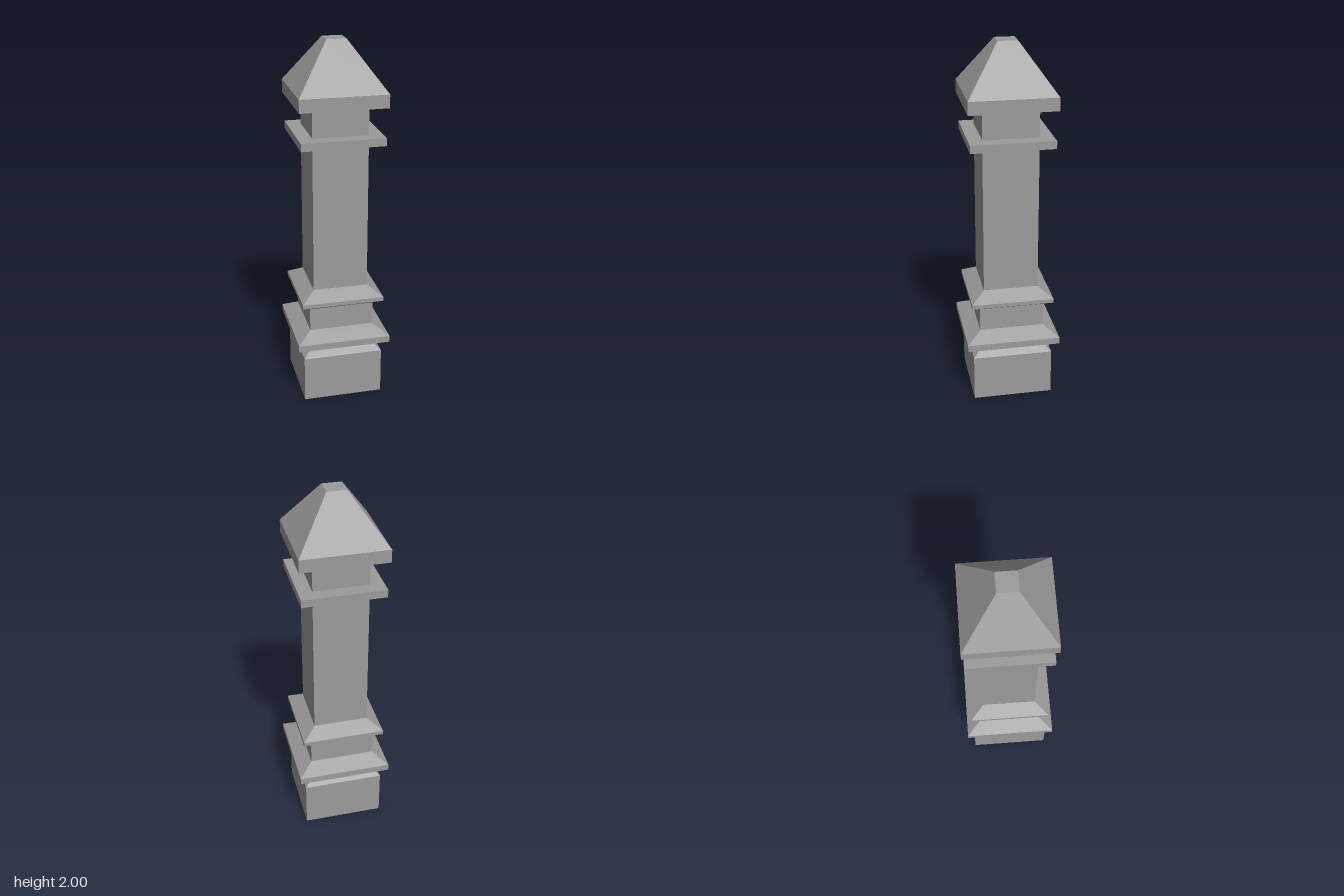
import * as THREE from 'three';

const material = new THREE.MeshStandardMaterial({ color: 0x9b9b9b, flatShading: true });

// Square solid swept from a profile of [halfWidth, height] points, bottom to top
function squarePart(name, profile) {
  const points = profile.map(([half, y]) => new THREE.Vector2(half * Math.SQRT2, y));
  const geometry = new THREE.LatheGeometry(points, 4, Math.PI / 4).toNonIndexed();
  geometry.computeVertexNormals();
  const mesh = new THREE.Mesh(geometry, material);
  mesh.name = name;
  return mesh;
}

export function createModel() {
  const group = new THREE.Group();
  group.name = 'squarePillar';
  group.add(
    // Plinth with a bevelled top edge
    squarePart('plinth', [[0, 0], [0.221, 0], [0.221, 0.26], [0.186, 0.293]]),
    // Wide moulding, sloped above and below
    squarePart('lowerMoulding', [[0.186, 0.293], [0.258, 0.331], [0.258, 0.368], [0.178, 0.418]]),
    squarePart('pedestalBlock', [[0.178, 0.418], [0.178, 0.548]]),
    // Narrower moulding under the shaft
    squarePart('upperMoulding', [[0.178, 0.548], [0.227, 0.577], [0.227, 0.6], [0.151, 0.65]]),
    squarePart('shaft', [[0.151, 0.65], [0.151, 1.47]]),
    // Flat collar ring
    squarePart('collar', [[0.151, 1.47], [0.226, 1.47], [0.226, 1.513], [0.151, 1.513]]),
    squarePart('neck', [[0.151, 1.513], [0.151, 1.672]]),
    // Truncated pyramid cap with an overhanging rim
    squarePart('cap', [[0.151, 1.672], [0.235, 1.672], [0.235, 1.743], [0.053, 2], [0, 2]]),
  );
  return group;
}
